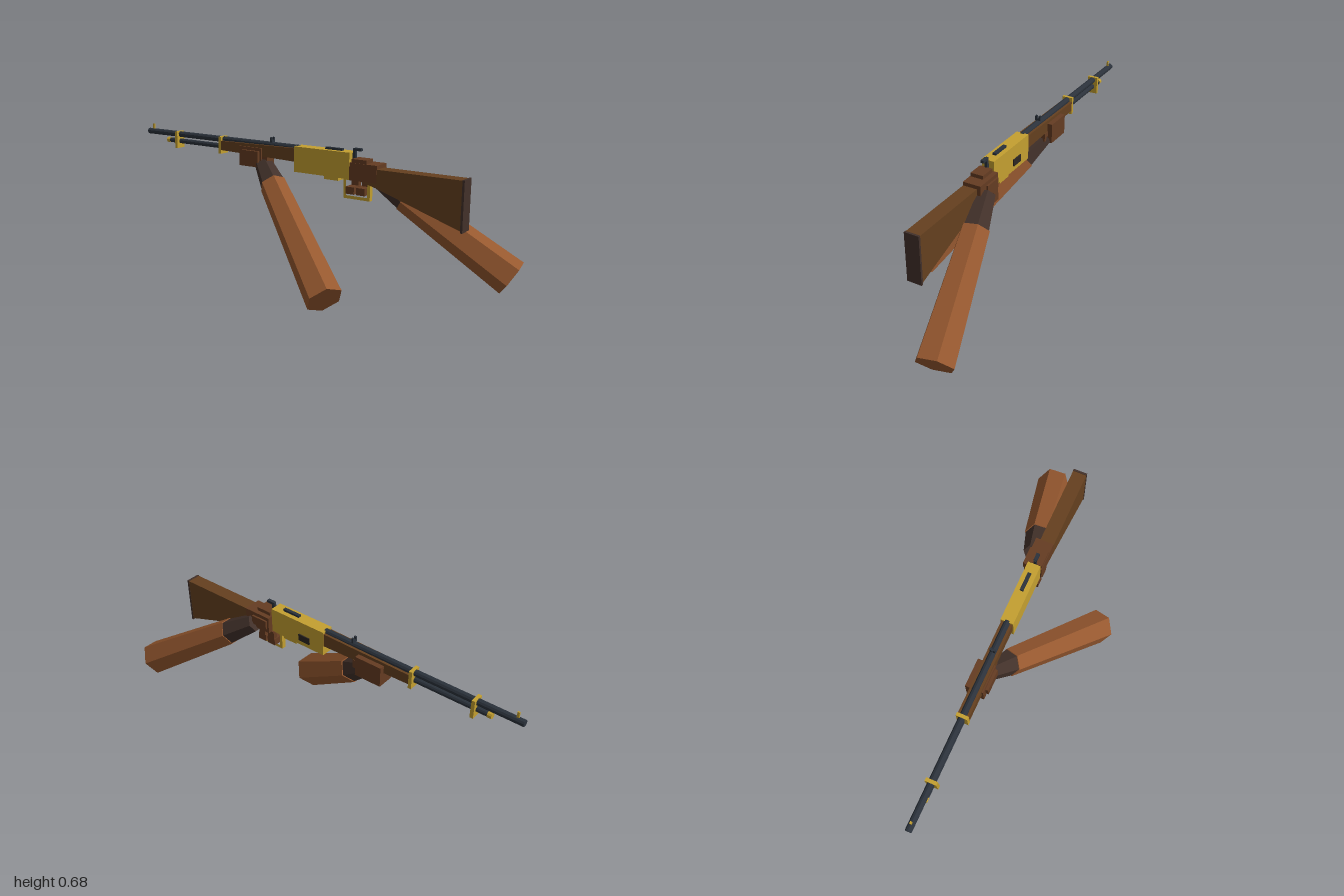
import * as THREE from 'three';

const CX = 0.071; // centre plane of the rifle

function material(name, color) {
  const m = new THREE.MeshStandardMaterial({ color, flatShading: true });
  m.name = name;
  return m;
}

export function createModel() {
  const root = new THREE.Group();
  root.name = 'rifleWithArms';
  const stockWood = material('stock wood', 0x65401f);
  const sleeveBrown = material('sleeve brown', 0x96582f);
  const handBrown = material('hand brown', 0x653c22);
  const cuffBrown = material('dark cuff', 0x42312a);
  const brass = material('brass', 0xc4a030);
  const steel = material('dark steel', 0x2b323b);
  const portDark = material('port dark', 0x2c2622);

  const add = (name, geometry, mat, parent = root) => {
    const mesh = new THREE.Mesh(geometry, mat);
    mesh.name = name;
    parent.add(mesh);
    return mesh;
  };
  // Box given by its limits on each axis
  const box = (name, mat, x0, x1, y0, y1, z0, z1) => {
    const mesh = add(name, new THREE.BoxGeometry(x1 - x0, y1 - y0, z1 - z0), mat);
    mesh.position.set((x0 + x1) / 2, (y0 + y1) / 2, (z0 + z1) / 2);
    return mesh;
  };
  // Box centred on the rifle plane
  const mid = (name, mat, w, y0, y1, z0, z1) => box(name, mat, CX - w / 2, CX + w / 2, y0, y1, z0, z1);
  // Side outline of [z, y] points (and holes), extruded across x
  const plate = (name, mat, width, points, hole) => {
    const toVec = ([z, y]) => new THREE.Vector2(-z, y);
    const shape = new THREE.Shape(points.map(toVec));
    if (hole) shape.holes.push(new THREE.Path(hole.map(toVec)));
    const geo = new THREE.ExtrudeGeometry(shape, { depth: width, bevelEnabled: false });
    geo.translate(0, 0, -width / 2).rotateY(Math.PI / 2);
    add(name, geo, mat).position.x = CX;
  };
  // Tube lying along z
  const rod = (name, mat, r, y, z0, z1) => {
    const geo = new THREE.CylinderGeometry(r, r, z1 - z0, 10).rotateX(Math.PI / 2);
    add(name, geo, mat).position.set(CX, y, (z0 + z1) / 2);
  };

  // Shoulder stock and butt plate
  plate('stock', stockWood, 0.066, [[0.805, 0.383], [0.805, 0.598], [0.265, 0.598], [0.265, 0.55], [0.40, 0.515]]);
  mid('buttPlate', cuffBrown, 0.068, 0.375, 0.6, 0.805, 0.815);

  // Receiver with ports
  mid('receiver', brass, 0.06, 0.538, 0.658, -0.038, 0.262);
  mid('loadingPlate', brass, 0.045, 0.522, 0.54, 0.125, 0.2);
  for (const s of [-1, 1]) {
    const x = CX + s * 0.0315;
    if (s > 0) box('loadingGate', portDark, x - 0.003, x + 0.004, 0.562, 0.594, 0.038, 0.1);
  }
  mid('topPort', steel, 0.016, 0.655, 0.668, 0.12, 0.21);

  // Hammer
  mid('hammer', steel, 0.012, 0.615, 0.675, 0.265, 0.28);
  mid('hammerSpur', steel, 0.016, 0.665, 0.677, 0.272, 0.308);

  // Lever loop
  plate('leverLoop', brass, 0.022,
    [[0.36, 0.445], [0.36, 0.54], [0.222, 0.54], [0.222, 0.445]],
    [[0.346, 0.459], [0.346, 0.53], [0.236, 0.53], [0.236, 0.459]]);

  // Fore-end, barrel and magazine tube
  plate('foreEnd', stockWood, 0.052, [[-0.036, 0.585], [-0.036, 0.648], [-0.485, 0.642], [-0.485, 0.596]]);
  rod('barrel', steel, 0.015, 0.647, -1, -0.03);
  rod('magazineTube', steel, 0.0125, 0.612, -0.85, -0.48);
  rod('magazineCap', brass, 0.014, 0.612, -0.865, -0.845);
  for (const z of [-0.493, -0.787]) mid('barrelBand', brass, 0.052, 0.577, 0.662, z - 0.008, z + 0.008);

  // Sights
  mid('rearSightBase', steel, 0.026, 0.66, 0.672, -0.19, -0.18);
  for (const s of [-1, 1]) box('rearSightPost', steel, CX + s * 0.009 - 0.004, CX + s * 0.009 + 0.004, 0.668, 0.684, -0.19, -0.18);
  mid('frontSight', brass, 0.007, 0.658, 0.687, -0.972, -0.962);

  // Rear hand with fingers through the loop
  box('rearPalm', handBrown, 0.037, 0.122, 0.535, 0.615, 0.265, 0.405);
  box('rearThumb', handBrown, 0.04, 0.1, 0.612, 0.632, 0.275, 0.35);
  box('rearKnuckles', handBrown, 0.115, 0.131, 0.555, 0.598, 0.275, 0.36);
  for (const z of [0.32, 0.265]) {
    box('rearFinger', handBrown, 0.043, 0.11, 0.47, 0.503, z - 0.022, z + 0.022);
    box('rearFingerRoot', handBrown, 0.09, 0.11, 0.5, 0.54, z - 0.018, z + 0.018);
  }

  // Front hand under the fore-end
  box('frontPalm', handBrown, 0.038, 0.121, 0.535, 0.63, -0.362, -0.23);
  box('frontThumb', handBrown, 0.025, 0.045, 0.56, 0.615, -0.34, -0.24);
  box('frontWrist', handBrown, 0.045, 0.1, 0.55, 0.59, -0.24, -0.2);

  // Six-sided taper from a to b, with one corner pointing along u
  const taper = (name, mat, a, b, ra, rb, u, parent) => {
    const dir = b.clone().sub(a);
    const len = dir.length();
    dir.normalize();
    const z = u.clone().addScaledVector(dir, -u.dot(dir)).normalize();
    const x = new THREE.Vector3().crossVectors(dir, z);
    const mesh = add(name, new THREE.CylinderGeometry(rb, ra, len, 6), mat, parent);
    mesh.quaternion.setFromRotationMatrix(new THREE.Matrix4().makeBasis(x, dir, z));
    mesh.position.copy(a).add(b).multiplyScalar(0.5);
  };

  // Arms: wide sleeve, then a dark cuff reaching the hand
  const V = (...p) => new THREE.Vector3(...p);
  const arms = [
    ['rearArm', V(0.252, 0.152, 0.96), V(0.148, 0.465, 0.49), V(0.118, 0.555, 0.355), V(0.084, 0.011, -0.011)],
    ['frontArm', V(-0.258, 0.072, 0.332), V(0.016, 0.47, -0.145), V(0.075, 0.555, -0.247), V(0.079, -0.024, 0.025)],
  ];
  for (const [name, elbow, cuff, wrist, corner] of arms) {
    const arm = new THREE.Group();
    arm.name = name;
    root.add(arm);
    taper('sleeve', sleeveBrown, elbow, cuff, 0.085, 0.064, corner, arm);
    taper('cuff', cuffBrown, cuff, wrist, 0.06, 0.043, corner, arm);
  }
  return root;
}
